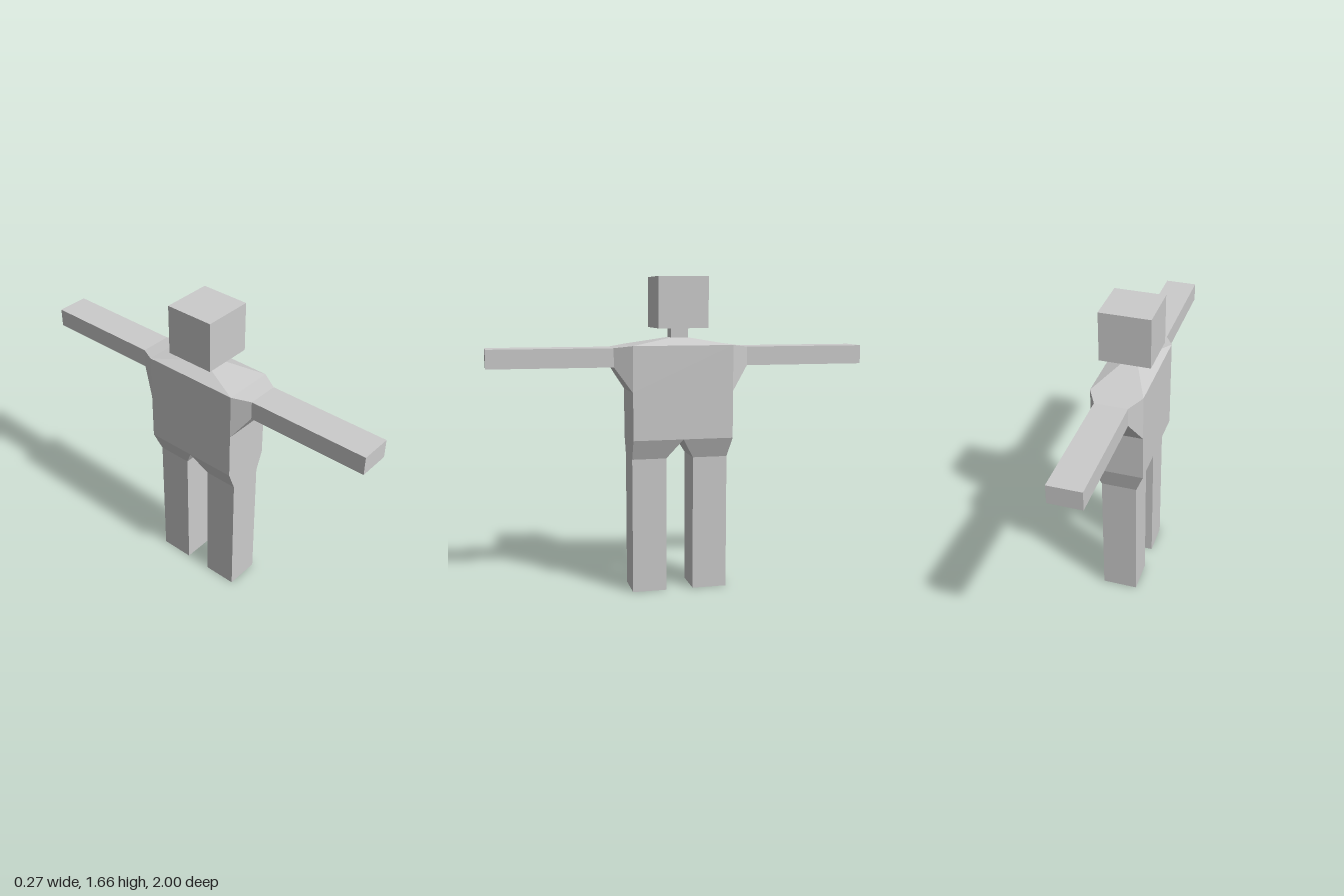
import * as THREE from 'three';

const material = new THREE.MeshStandardMaterial({ color: 0xcccccc, flatShading: true });

// Rectangular rings, counter-clockwise seen from the +axis side
const levelRing = (y, x, z0, z1) => [[-x, y, z1], [x, y, z1], [x, y, z0], [-x, y, z0]];
const uprightRing = (z, x, y0, y1) => [[-x, y0, z], [x, y0, z], [x, y1, z], [-x, y1, z]];

// Joins four-cornered rings into a faceted skin, with optional end caps
function loft(name, rings, { capStart = false, capEnd = false } = {}) {
  const positions = [];
  const quad = (a, b, c, d) => positions.push(...a, ...b, ...c, ...a, ...c, ...d);
  for (let r = 0; r < rings.length - 1; r++) {
    const low = rings[r], high = rings[r + 1];
    for (let i = 0; i < 4; i++) {
      const j = (i + 1) % 4;
      quad(low[i], low[j], high[j], high[i]);
    }
  }
  if (capStart) quad(...[...rings[0]].reverse());
  if (capEnd) quad(...rings[rings.length - 1]);
  const geometry = new THREE.BufferGeometry();
  geometry.setAttribute('position', new THREE.Float32BufferAttribute(positions, 3));
  geometry.computeVertexNormals();
  const mesh = new THREE.Mesh(geometry, material);
  mesh.name = name;
  return mesh;
}

export function createModel() {
  const group = new THREE.Group();
  group.name = 'figure';

  // Head
  const head = new THREE.Mesh(new THREE.BoxGeometry(0.266, 0.264, 0.264), material);
  head.name = 'head';
  head.position.set(0, 1.528, 0);
  group.add(head);

  // Torso, sloping shoulders and neck; the sides are open where the arms join
  group.add(loft('torso', [
    levelRing(0.82, 0.135, -0.266, 0.266),
    levelRing(1.07, 0.135, -0.266, 0.266),
    levelRing(1.308, 0.135, -0.266, 0.266),
    levelRing(1.346, 0.042, -0.045, 0.045),
    levelRing(1.396, 0.042, -0.045, 0.045),
  ]));

  // Arms reaching out along z, each flaring into the torso
  for (const [name, turn] of [['frontArm', 0], ['backArm', Math.PI]]) {
    const arm = loft(name, [
      uprightRing(0.266, 0.135, 1.068, 1.308),
      uprightRing(0.356, 0.085, 1.198, 1.296),
      uprightRing(1, 0.085, 1.198, 1.296),
    ], { capEnd: true });
    arm.rotation.y = turn;
    group.add(arm);
  }

  // Legs, each widening into its half of the hips
  const legs = [
    ['frontLeg', 0.084, 0.266, 0, 0.266],
    ['backLeg', -0.245, -0.06, -0.266, 0],
  ];
  for (const [name, z0, z1, hip0, hip1] of legs) {
    group.add(loft(name, [
      levelRing(0, 0.094, z0, z1),
      levelRing(0.716, 0.094, z0, z1),
      levelRing(0.82, 0.135, hip0, hip1),
    ], { capStart: true }));
  }

  return group;
}
